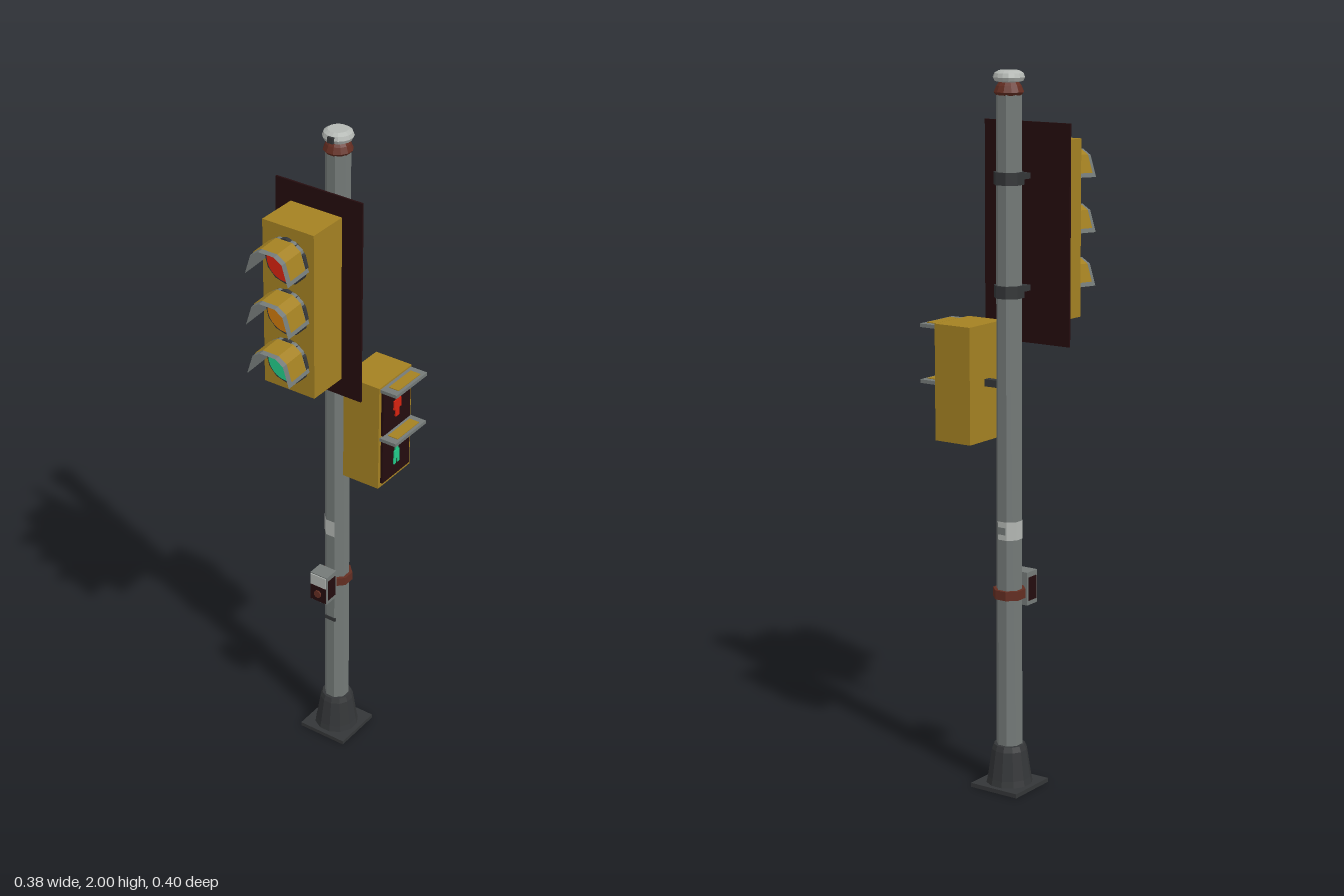
import * as THREE from 'three';

const mat = (name, color) => {
  const m = new THREE.MeshStandardMaterial({ color, side: THREE.DoubleSide, flatShading: true });
  m.name = name;
  return m;
};

export function createModel() {
  const steel = mat('pole steel', 0x747a78);
  const dark = mat('dark iron', 0x343638);
  const maroon = mat('dark maroon', 0x240c0e);
  const gold = mat('gold paint', 0xa48122);
  const pale = mat('pale grey', 0xb4b8b4);
  const rust = mat('rust', 0x642e22);
  const red = mat('red light', 0xd8220f);
  const amber = mat('amber light', 0xd07a0c);
  const green = mat('green light', 0x22cc8a);

  const model = new THREE.Group();
  model.name = 'trafficLight';
  const PX = -0.053, PZ = -0.12;

  const add = (name, geo, m, x = 0, y = 0, z = 0, parent = model) => {
    const mesh = new THREE.Mesh(geo, m);
    mesh.name = name;
    mesh.position.set(x, y, z);
    parent.add(mesh);
    return mesh;
  };
  // box given by its min and max corners
  const box = (name, m, x0, x1, y0, y1, z0, z1, parent) =>
    add(name, new THREE.BoxGeometry(x1 - x0, y1 - y0, z1 - z0), m,
      (x0 + x1) / 2, (y0 + y1) / 2, (z0 + z1) / 2, parent);
  // turned part around the pole axis, first face turned to the front
  const turned = (name, m, pts, sides) => {
    const geo = new THREE.LatheGeometry(pts.map(p => new THREE.Vector2(...p)), sides);
    geo.rotateY(Math.PI / sides);
    return add(name, geo, m, PX, 0, PZ);
  };
  const ring = (name, m, y, h, r, sides = 8) =>
    turned(name, m, [[0.03, y - h / 2], [r, y - h / 2], [r, y + h / 2], [0.03, y + h / 2]], sides);

  // base and pole
  box('basePlate', dark, PX - 0.078, PX + 0.078, 0, 0.012, PZ - 0.078, PZ + 0.078);
  turned('baseSocket', dark, [[0.066, 0.012], [0.062, 0.03], [0.05, 0.11], [0.044, 0.125], [0.02, 0.127]], 12);
  turned('pole', steel, [[0.037, 0.1], [0.035, 1.95]], 8);
  turned('capCollar', rust, [[0.034, 1.935], [0.041, 1.943], [0.034, 1.96], [0.025, 1.972]], 12);
  turned('cap', pale, [[0.02, 1.968], [0.038, 1.972], [0.043, 1.982], [0.039, 1.993], [0.028, 2], [0, 2]], 16);
  box('capSensor', dark, PX - 0.004, PX + 0.014, 1.975, 1.992, PZ + 0.03, PZ + 0.045);

  // sticker wrapped round the pole's front, right and back
  add('poleSticker', new THREE.CylinderGeometry(0.0375, 0.0375, 0.052, 5, 1, true, Math.PI * 1.125, Math.PI),
    pale, PX, 0.748, PZ).geometry = new THREE.CylinderGeometry(
    0.0375, 0.0375, 0.052, 5, 1, true, Math.PI * 0.875, Math.PI * 1.25);
  box('stickerGap', steel, PX - 0.012, PX + 0.012, 0.738, 0.758, PZ - 0.037, PZ - 0.034);
  box('poleSlot', dark, PX - 0.018, PX + 0.018, 0.416, 0.428, PZ + 0.03, PZ + 0.036);

  // push button box on its clamp
  ring('buttonClamp', rust, 0.565, 0.026, 0.046);
  box('buttonArm', rust, PX - 0.015, PX + 0.015, 0.553, 0.577, -0.085, -0.07);
  box('buttonBox', steel, PX - 0.029, PX + 0.029, 0.52, 0.615, -0.075, -0.027);
  for (const s of [-1, 1])
    box('buttonBoxSide', maroon, PX + s * 0.029 - 0.002, PX + s * 0.029 + 0.002, 0.533, 0.6, -0.069, -0.033);
  box('buttonSign', pale, PX - 0.027, PX + 0.027, 0.576, 0.612, -0.027, -0.024);
  box('buttonPanel', maroon, PX - 0.027, PX + 0.027, 0.523, 0.574, -0.027, -0.024);
  const button = add('button', new THREE.CylinderGeometry(0.012, 0.012, 0.006, 10), rust, PX, 0.55, -0.022);
  button.rotation.x = Math.PI / 2;

  // vehicle signal
  box('backboard', maroon, -0.192, 0.087, 1.257, 1.86, -0.036, -0.03);
  box('signalHousing', gold, -0.135, 0.03, 1.317, 1.808, -0.02, 0.105);
  for (const y of [1.715, 1.41]) {
    ring('bracketClamp', dark, y, 0.034, 0.042);
    box('bracketRod', dark, PX - 0.012, PX + 0.012, y - 0.008, y + 0.008, -0.085, -0.02);
    box('bracketFoot', dark, PX - 0.018, PX + 0.018, y - 0.016, y + 0.016, -0.03, -0.02);
  }

  // visor arch: strip along a polyline, swept forward from z0 to z1
  const arch = [[-0.069, -0.014], [-0.05, 0.046], [-0.025, 0.062], [0.025, 0.062], [0.05, 0.046], [0.069, -0.014]];
  const sweep = (pts, grow, z0, z1) => {
    const pos = [], index = [];
    pts.forEach(([x, y], i) => {
      for (const z of [z0, z1])
        pos.push(x * grow, y * grow - (z - 0.11) * 0.06, z);
      if (i) index.push(2 * i - 2, 2 * i - 1, 2 * i, 2 * i, 2 * i - 1, 2 * i + 1);
    });
    const geo = new THREE.BufferGeometry();
    geo.setAttribute('position', new THREE.Float32BufferAttribute(pos, 3));
    geo.setIndex(index);
    geo.computeVertexNormals();
    return geo;
  };
  const paint = arch.map(p => [...p]);
  paint[0] = [-0.065, -0.002];
  paint[5] = [0.065, -0.002];

  [[1.713, red], [1.56, amber], [1.41, green]].forEach(([y, colour]) => {
    const lamp = new THREE.Group();
    lamp.name = 'lamp';
    lamp.position.set(PX, y, 0);
    model.add(lamp);
    const rim = add('lampRim', new THREE.CylinderGeometry(0.066, 0.066, 0.014, 12), dark, 0, 0, 0.11, lamp);
    const lens = add('lens', new THREE.CylinderGeometry(0.057, 0.057, 0.006, 24), colour, 0, 0, 0.119, lamp);
    rim.rotation.x = lens.rotation.x = Math.PI / 2;
    add('visor', sweep(arch, 1, 0.107, 0.2), steel, 0, 0, 0, lamp);
    add('visorPaint', sweep(paint, 1.03, 0.12, 0.185), gold, 0, 0, 0, lamp);
  });

  // pedestrian signal facing the model's left
  box('walkHousing', gold, 0.022, 0.14, 0.987, 1.313, -0.199, -0.042);
  box('walkBracket', dark, -0.025, 0.022, 1.141, 1.161, PZ - 0.01, PZ + 0.01);
  for (const y of [1.226, 1.07]) {
    box('walkScreen', maroon, 0.14, 0.147, y - 0.069, y + 0.069, -0.185, -0.053);
    box('walkVisor', steel, 0.14, 0.193, y + 0.072, y + 0.082, -0.196, -0.047);
    box('walkVisorPaint', gold, 0.152, 0.184, y + 0.082, y + 0.084, -0.176, -0.07);
  }

  // figures as thin plates: [z, y, width, height] relative to the figure centre
  const figure = (name, m, y, parts) => {
    const g = new THREE.Group();
    g.name = name;
    g.position.set(0.149, y, -0.118);
    model.add(g);
    for (const [z, py, w, h] of parts)
      add('figurePart', new THREE.BoxGeometry(0.004, h, w), m, 0, py, z, g);
  };
  figure('standingFigure', red, 1.227,
    [[0, 0.027, 0.014, 0.014], [0, 0.005, 0.034, 0.028], [0, -0.02, 0.018, 0.026]]);
  figure('walkingFigure', green, 1.066,
    [[0, 0.022, 0.012, 0.012], [0, 0.002, 0.024, 0.026], [0.009, -0.018, 0.009, 0.018], [-0.008, -0.018, 0.009, 0.018]]);

  return model;
}
